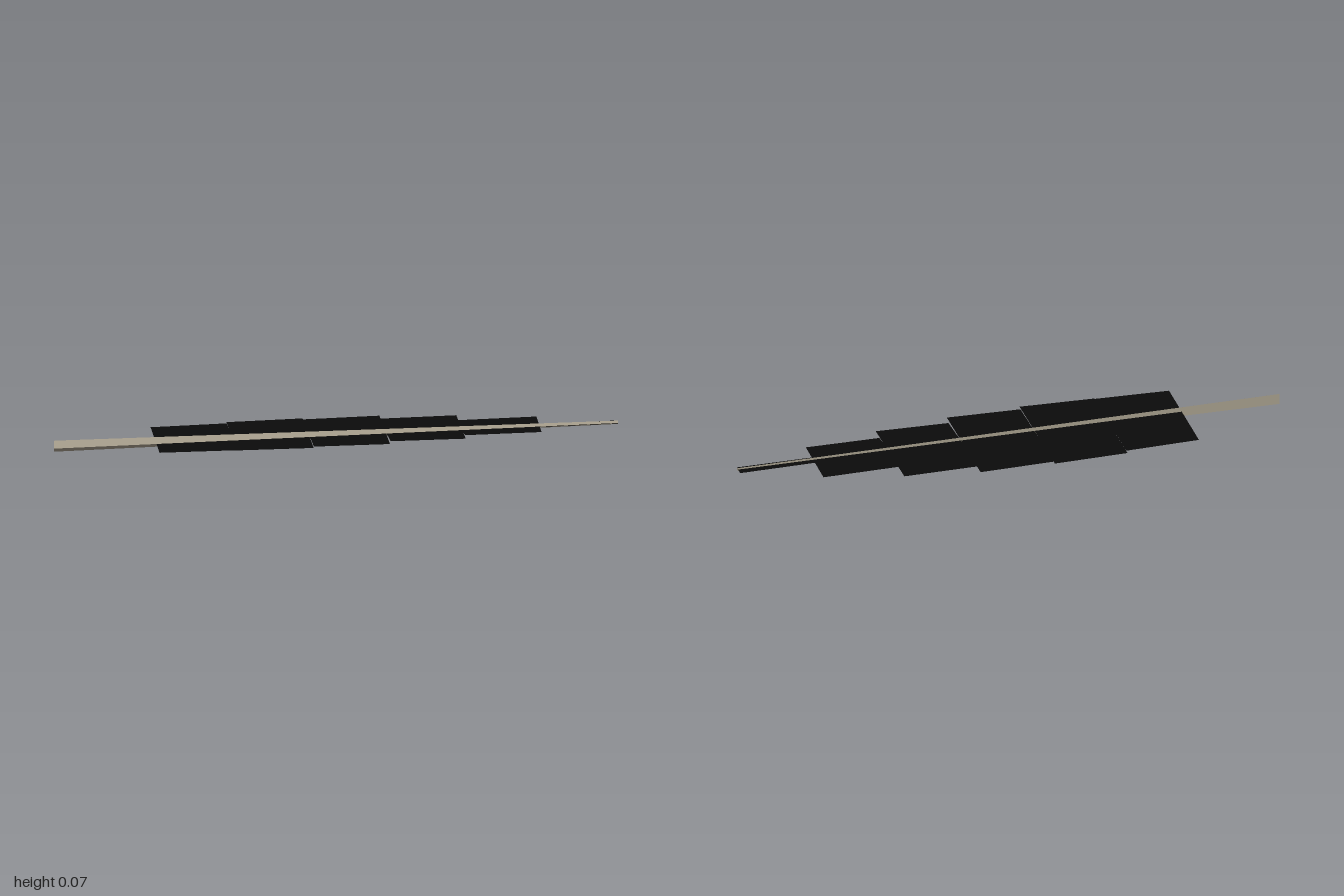
import * as THREE from 'three';

// Height of the gently rising plane in which the feather lies
const rise = (x) => 0.0405 + 0.0205 * x;

// Moves every vertex by a rule and gives the result flat normals
function deform(geometry, rule) {
  const g = geometry.index ? geometry.toNonIndexed() : geometry;
  const p = g.attributes.position;
  const v = new THREE.Vector3();
  for (let i = 0; i < p.count; i++) {
    rule(v.fromBufferAttribute(p, i));
    p.setXYZ(i, v.x, v.y, v.z);
  }
  g.computeVertexNormals();
  return g;
}

export function createModel() {
  const model = new THREE.Group();
  model.name = 'feather';

  const quillTan = new THREE.MeshStandardMaterial({ color: 0x9e9685 });
  quillTan.name = 'quillTan';
  const vaneBlack = new THREE.MeshStandardMaterial({ color: 0x0b0b0b, side: THREE.DoubleSide });
  vaneBlack.name = 'vaneBlack';

  // Quill: a tapering three-sided rod with its ridge to the front
  const rod = new THREE.CylinderGeometry(0.007, 0.0235, 2, 3);
  rod.rotateZ(-Math.PI / 2);
  const quill = new THREE.Mesh(deform(rod, (v) => {
    v.y += rise(v.x);
    v.z += 0.0125 - 0.1495 * v.x;
  }), quillTan);
  quill.name = 'quill';
  model.add(quill);

  // Vane: stepped flat panels, corners as x, z: back start, back end, front end, front start
  const panels = [
    [-0.67, -0.113, -0.4, -0.162, -0.345, 0.226, -0.618, 0.255],
    [-0.402, -0.179, -0.133, -0.226, -0.07, 0.2, -0.345, 0.229],
    [-0.133, -0.211, 0.14, -0.258, 0.2, 0.151, -0.07, 0.181],
    [0.14, -0.214, 0.415, -0.257, 0.467, 0.081, 0.2, 0.111],
    [0.415, -0.184, 0.703, -0.231, 0.733, -0.007, 0.462, 0.031],
    [0.715, -0.122, 0.994, -0.167, 1.0, -0.124, 0.725, -0.083],
  ];
  const vane = new THREE.Group();
  vane.name = 'vane';
  panels.forEach((c, i) => {
    const shape = new THREE.Shape();
    for (let k = 0; k < 8; k += 2) {
      if (k === 0) shape.moveTo(c[k], -c[k + 1]);
      else shape.lineTo(c[k], -c[k + 1]);
    }
    const flat = new THREE.ShapeGeometry(shape);
    flat.rotateX(-Math.PI / 2);
    const panel = new THREE.Mesh(deform(flat, (v) => { v.y = rise(v.x); }), vaneBlack);
    panel.name = `vanePanel${i + 1}`;
    vane.add(panel);
  });
  model.add(vane);

  return model;
}
